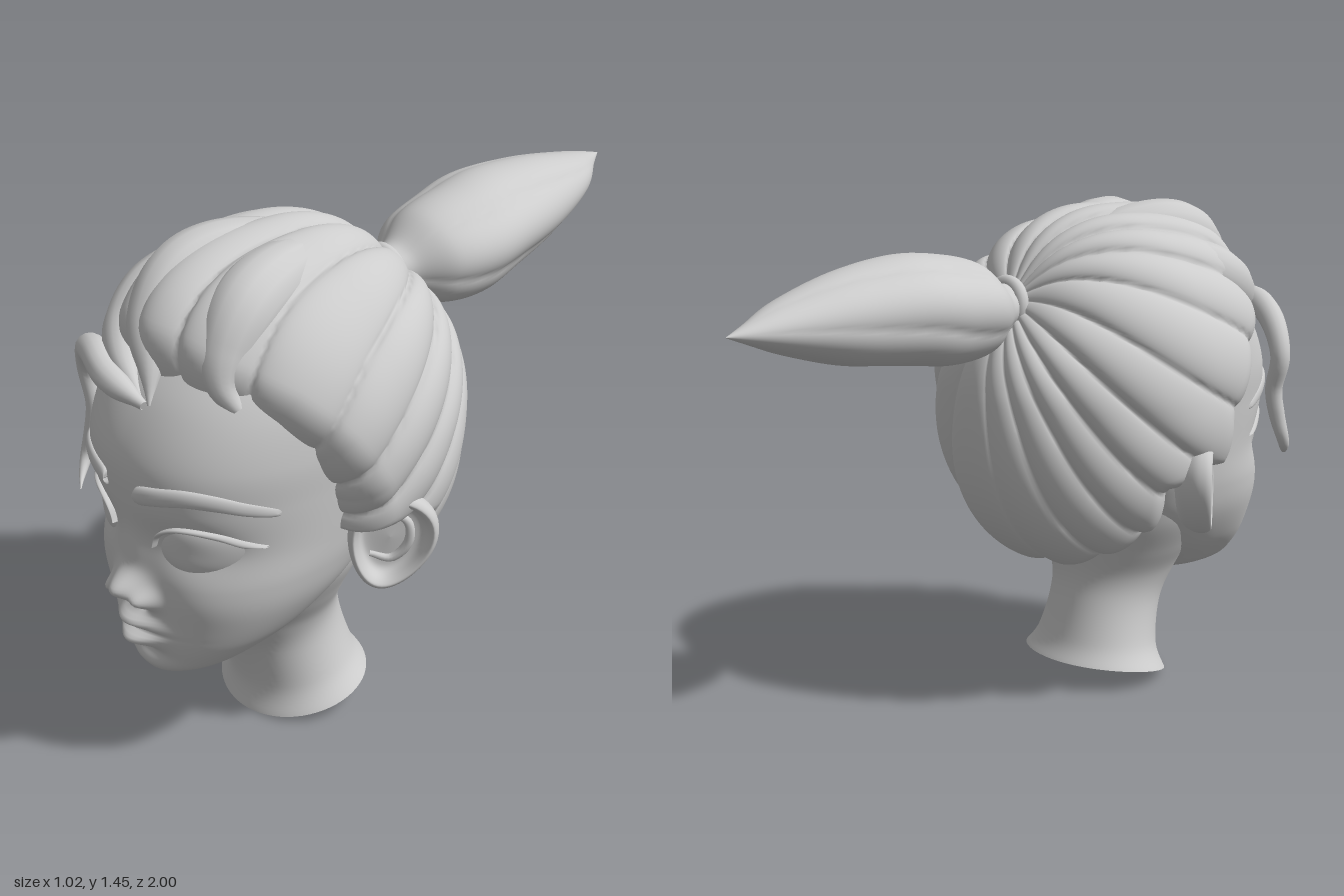
import * as THREE from 'three';

const clay = new THREE.MeshStandardMaterial({ color: 0xcccccc, side: THREE.DoubleSide });
clay.name = 'clay grey';
const { sin, cos, abs, sign, exp, PI, min, max, pow } = Math;
const V = (x, y, z) => new THREE.Vector3(x, y, z);
const gauss = (x, y, cx, cy, sx, sy) => exp(-(((x - cx) / sx) ** 2) - ((y - cy) / sy) ** 2);

// Smooth interpolation through the rows of a small table, t in 0..1
function sample(rows, t) {
  const f = min(max(t, 0), 1) * (rows.length - 1), i = min(Math.floor(f), rows.length - 2), s = f - i;
  const at = k => rows[min(max(k, 0), rows.length - 1)];
  return rows[0].map((_, c) => {
    const [a, b, d, e] = [at(i - 1)[c], at(i)[c], at(i + 1)[c], at(i + 2)[c]];
    return b + 0.5 * s * (d - a + s * (2 * a - 5 * b + 4 * d - e + s * (3 * (b - d) + e - a)));
  });
}

// Grid surface closed in u, open in v
function surface(name, nu, nv, fn) {
  const pos = [], idx = [];
  for (let j = 0; j <= nv; j++) for (let i = 0; i < nu; i++) pos.push(...fn(i / nu, j / nv));
  for (let j = 0; j < nv; j++) for (let i = 0; i < nu; i++) {
    const a = j * nu + i, b = j * nu + (i + 1) % nu;
    idx.push(a, b, a + nu, b, b + nu, a + nu);
  }
  const g = new THREE.BufferGeometry();
  g.setAttribute('position', new THREE.Float32BufferAttribute(pos, 3));
  g.setIndex(idx);
  g.computeVertexNormals();
  const m = new THREE.Mesh(g, clay);
  m.name = name;
  return m;
}

// Tapered tube; rows are [x, y, z, radius]
function lock(name, rows, nu = 14, nv = 48) {
  const curve = new THREE.CatmullRomCurve3(rows.map(r => V(r[0], r[1], r[2])));
  const fr = curve.computeFrenetFrames(nv);
  return surface(name, nu, nv, (u, v) => {
    const k = Math.round(v * nv), a = u * 2 * PI, r = max(sample(rows, v)[3], 0.001);
    return curve.getPointAt(v).addScaledVector(fr.normals[k], r * cos(a))
      .addScaledVector(fr.binormals[k], r * sin(a)).toArray();
  });
}

// Head rows: y, half width, front z, back z
const headRows = [
  [0.283, 0.002, 0.79, 0.78], [0.292, 0.075, 0.865, 0.63], [0.318, 0.138, 0.89, 0.56], [0.36, 0.19, 0.902, 0.5],
  [0.43, 0.252, 0.91, 0.4], [0.53, 0.308, 0.915, 0.28], [0.62, 0.334, 0.915, 0.2], [0.72, 0.346, 0.915, 0.1],
  [0.85, 0.356, 0.935, 0.06], [0.97, 0.362, 0.93, 0.06], [1.1, 0.35, 0.865, 0.08], [1.2, 0.31, 0.77, 0.12],
  [1.3, 0.2, 0.64, 0.2], [1.36, 0.002, 0.45, 0.44]];
const P = 2.3;

// Relief of nose, lips, chin and eye sockets
function relief(x0, y) {
  const x = abs(x0), lipY = 0.012 * (x / 0.1) ** 2;
  let d = 0.078 * gauss(x, y, 0, 0.586, 0.056, 0.042);
  d += 0.018 * gauss(x, y, 0, 0.68, 0.055, 0.07);
  d += 0.04 * gauss(x, y, 0.064, 0.562, 0.027, 0.028);
  d -= 0.024 * gauss(x, y, 0.034, 0.532, 0.016, 0.011);
  d += 0.05 * gauss(x, y + lipY, 0, 0.482, 0.074, 0.024);
  d += 0.05 * gauss(x, y - lipY, 0, 0.42, 0.066, 0.026);
  d -= 0.016 * gauss(x, y, 0, 0.449, 0.1, 0.008);
  d -= 0.015 * gauss(x, y, 0, 0.372, 0.08, 0.025);
  d += 0.008 * gauss(x, y, 0, 0.325, 0.08, 0.03);
  d -= 0.03 * gauss(x, y, 0.18, 0.74, 0.1, 0.065);
  d += 0.008 * gauss(x, y, 0.22, 0.58, 0.09, 0.07);
  return d;
}

// Depth of the face at a given x, y
function faceZ(x, y) {
  let lo = 0, hi = 1;
  for (let k = 0; k < 24; k++) {
    const m = (lo + hi) / 2;
    if (sample(headRows, m)[0] < y) lo = m; else hi = m;
  }
  const [, w, f, b] = sample(headRows, lo), c = (f + b) / 2;
  return c + (f - c) * pow(max(0, 1 - pow(abs(x) / w, P)), 1 / P) + relief(x, y);
}

const makeHead = () => surface('head', 200, 160, (u, v) => {
  const [y, w, f, b] = sample(headRows, v), s = u * 2 * PI, a = s - 0.5 * sin(s);
  const bend = n => sign(n) * pow(abs(n), 2 / P);
  const x = w * bend(sin(a)), z = (f + b) / 2 + (f - b) / 2 * bend(cos(a));
  return [x, y, z + (cos(a) > 0 ? relief(x, y) * min(1, cos(a) * 4) : 0)];
});

// Neck rows: y, half width, front z, back z, tilt of the ring
const neckRows = [[0.055, 0.232, 0.58, 0.19, 1], [0.12, 0.19, 0.565, 0.22, 0.6], [0.24, 0.165, 0.6, 0.25, 0.2],
  [0.33, 0.178, 0.66, 0.262, 0], [0.42, 0.225, 0.7, 0.25, 0], [0.52, 0.275, 0.72, 0.22, 0], [0.62, 0.3, 0.72, 0.2, 0]];
const makeNeck = () => surface('neck', 64, 40, (u, v) => {
  const [y, w, f, b, t] = sample(neckRows, v), a = u * 2 * PI;
  return [w * sin(a), y - t * (0.04 * cos(a) + 0.012 * cos(a) ** 2), (f + b) / 2 + (f - b) / 2 * cos(a)];
});

// Strip lying on the face; rows are [x, y, half height]
const strip = (name, rows, depth) => surface(name, 16, 40, (u, v) => {
  const [x, cy, r] = sample(rows, v), a = u * 2 * PI, y = cy - r * sin(a);
  return [x, y, faceZ(x, y) + depth * cos(a)];
});

function makeEyeArea() {
  const g = new THREE.Group();
  g.add(surface('eye', 40, 12, (u, v) => {
    const a = -u * 2 * PI, x = 0.187 + 0.097 * v * cos(a), y = 0.735 + 0.064 * v * sin(a) + 0.012 * v * cos(a);
    return [x, y, faceZ(x, y) + 0.034 * (1 - v * v) - 0.003];
  }));
  g.add(strip('upperLid', [[0.083, 0.728, 0.003], [0.1, 0.768, 0.007], [0.15, 0.799, 0.008], [0.2, 0.805, 0.009],
    [0.25, 0.791, 0.011], [0.285, 0.765, 0.011], [0.312, 0.75, 0.002]], 0.018));
  g.add(strip('eyebrow', [[0.062, 0.884, 0.001], [0.066, 0.884, 0.026], [0.13, 0.898, 0.027], [0.2, 0.908, 0.025],
    [0.26, 0.897, 0.023], [0.305, 0.87, 0.019], [0.328, 0.85, 0.012], [0.332, 0.846, 0.001]], 0.015));
  return g;
}

// Ear: profile of radius and height swept round an egg outline
const earProfile = [[0, -0.005], [0.5, -0.008], [0.7, 0], [0.8, 0.028], [0.9, 0.04], [1, 0.022], [0.97, -0.015],
  [0.7, -0.055], [0, -0.07]];
function makeEar() {
  const g = new THREE.Group();
  g.name = 'ear';
  g.add(surface('earShell', 48, 40, (u, v) => {
    const [r, h] = sample(earProfile, v), a = -u * 2 * PI;
    return [0.115 * r * cos(a) * (1 + 0.22 * sin(a)), 0.145 * r * sin(a), h];
  }));
  g.add(lock('earFold', [[-0.03, 0.075, -0.002, 0.006], [0.03, 0.06, 0, 0.012], [0.05, 0, 0, 0.013],
    [0.02, -0.06, -0.004, 0.012], [-0.04, -0.06, -0.004, 0.008]], 10, 24));
  g.position.set(0.408, 0.672, 0.385);
  g.rotation.set(0, 0.88, -0.28);
  return g;
}

// Hair cap: strands fan out from the tie to the hairline [angle round, angle reached]
const hairline = [[0, 122], [25, 120], [46, 115], [68, 114], [90, 117], [104, 124], [113, 115], [123, 106], [138, 119], [180, 119]];
function reach(deg) {
  let k = 0;
  while (k < hairline.length - 2 && hairline[k + 1][0] < deg) k++;
  const [a, p] = hairline[k], [b, q] = hairline[k + 1];
  return p + (q - p) * (deg - a) / (b - a);
}
const makeHair = () => surface('hairCap', 360, 64, (u, v) => {
  const th = PI - u * 2 * PI, w = v ** 0.9;
  const swirl = th + 0.1 * sin(3 * th + 1) + 0.16 * sin(v * 3) * cos(th / 2);
  const p = (((swirl * 18) / (2 * PI)) % 1 + 1) % 1;
  const ridge = pow(sin(PI * pow(p, 0.8)), 0.6);
  const phi = w * (reach(abs(th) * 180 / PI) + ridge) * PI / 180;
  const along = V(0, 0.6, -0.8).multiplyScalar(cos(phi));
  const d = along.add(V(sin(th), 0.8 * cos(th), 0.6 * cos(th)).multiplyScalar(sin(phi)));
  // Rounder above the back of the head, fuller at the nape
  const q = d.y > 0 && d.z < 0 ? 2 : 2.5;
  const yz = pow(abs(d.y / (d.y > 0 ? 0.51 : 0.56)), q) + pow(abs(d.z / 0.485), q);
  let r = 1 / Math.sqrt((d.x / (d.x > 0 ? 0.475 : 0.485)) ** 2 + pow(yz, 2 / q));
  r *= 1.015 - 0.055 * (1 - ridge) * min(1, v * 4);
  r *= 1 - 0.1 * exp(-((phi / 0.36) ** 2));
  r *= 1 + 0.06 * exp(-((d.y - 0.65) ** 2 + (d.z - 0.72) ** 2 + d.x * d.x) / 0.15);
  r *= 1 - 0.23 * pow(max(0, (v - 0.82) / 0.18), 1.8);
  return [d.x * r, 0.93 + d.y * r, 0.38 + d.z * r];
});

// Ponytail rows: z, centre x, centre y, half width, half height
const tailRows = [[0.03, 0, 1.19, 0.06, 0.06], [-0.03, 0, 1.185, 0.085, 0.075], [-0.12, 0.005, 1.195, 0.16, 0.13],
  [-0.25, 0.003, 1.205, 0.188, 0.152], [-0.4, -0.017, 1.222, 0.188, 0.148], [-0.6, -0.035, 1.228, 0.15, 0.122],
  [-0.8, -0.06, 1.235, 0.094, 0.07], [-0.93, -0.092, 1.24, 0.036, 0.026], [-1, -0.103, 1.243, 0.001, 0.001]];
const makeTail = () => surface('ponytail', 84, 64, (u, v) => {
  const [z, cx, cy, rx, ry] = sample(tailRows, v), a = -u * 2 * PI;
  const r = 1.02 - 0.09 * (1 - pow(abs(sin(2.5 * (a + 0.9 * v))), 0.8)) * sin(PI * min(1, v + 0.1));
  return [cx + rx * r * cos(a), cy + ry * r * sin(a), z];
});

const locks = {
  looseCurl: [[0.03, 1.1, 0.87, 0.012], [-0.11, 1.128, 0.87, 0.035], [-0.24, 1.136, 0.82, 0.04], [-0.345, 1.09, 0.77, 0.04],
    [-0.4, 1, 0.74, 0.036], [-0.38, 0.9, 0.74, 0.03], [-0.388, 0.82, 0.75, 0.026], [-0.4, 0.74, 0.77, 0.024],
    [-0.37, 0.7, 0.81, 0.016], [-0.335, 0.69, 0.84, 0.002]],
  middleForelock: [[-0.02, 1.34, 0.22, 0.02], [-0.07, 1.375, 0.42, 0.06], [-0.1, 1.35, 0.62, 0.085],
    [-0.07, 1.26, 0.75, 0.085], [0, 1.175, 0.82, 0.055], [0.04, 1.1, 0.86, 0.006]],
  leftForelock: [[0.03, 1.34, 0.22, 0.02], [0.09, 1.36, 0.42, 0.06], [0.14, 1.325, 0.62, 0.09],
    [0.17, 1.23, 0.72, 0.095], [0.2, 1.17, 0.75, 0.07], [0.24, 1.12, 0.74, 0.02]],
  rightForelock: [[-0.1, 1.32, 0.3, 0.02], [-0.2, 1.3, 0.45, 0.06], [-0.25, 1.24, 0.6, 0.085], [-0.22, 1.18, 0.71, 0.08],
    [-0.12, 1.15, 0.81, 0.05], [0, 1.11, 0.86, 0.006]],
};

export function createModel() {
  const model = new THREE.Group();
  model.name = 'bust';
  model.add(makeHead(), makeNeck(), makeHair(), makeTail());
  for (const [name, rows] of Object.entries(locks)) model.add(lock(name, rows));

  // Paired features
  for (const side of [1, -1]) {
    const half = new THREE.Group();
    half.name = side > 0 ? 'leftFeatures' : 'rightFeatures';
    half.add(makeEyeArea(), makeEar());
    half.scale.x = side;
    model.add(half);
  }

  // Hair tie
  const tie = new THREE.Mesh(new THREE.TorusGeometry(0.065, 0.02, 12, 40), clay);
  tie.name = 'hairTie';
  tie.position.set(0, 1.19, 0.01);
  tie.rotation.x = 0.12;
  model.add(tie);
  return model;
}
